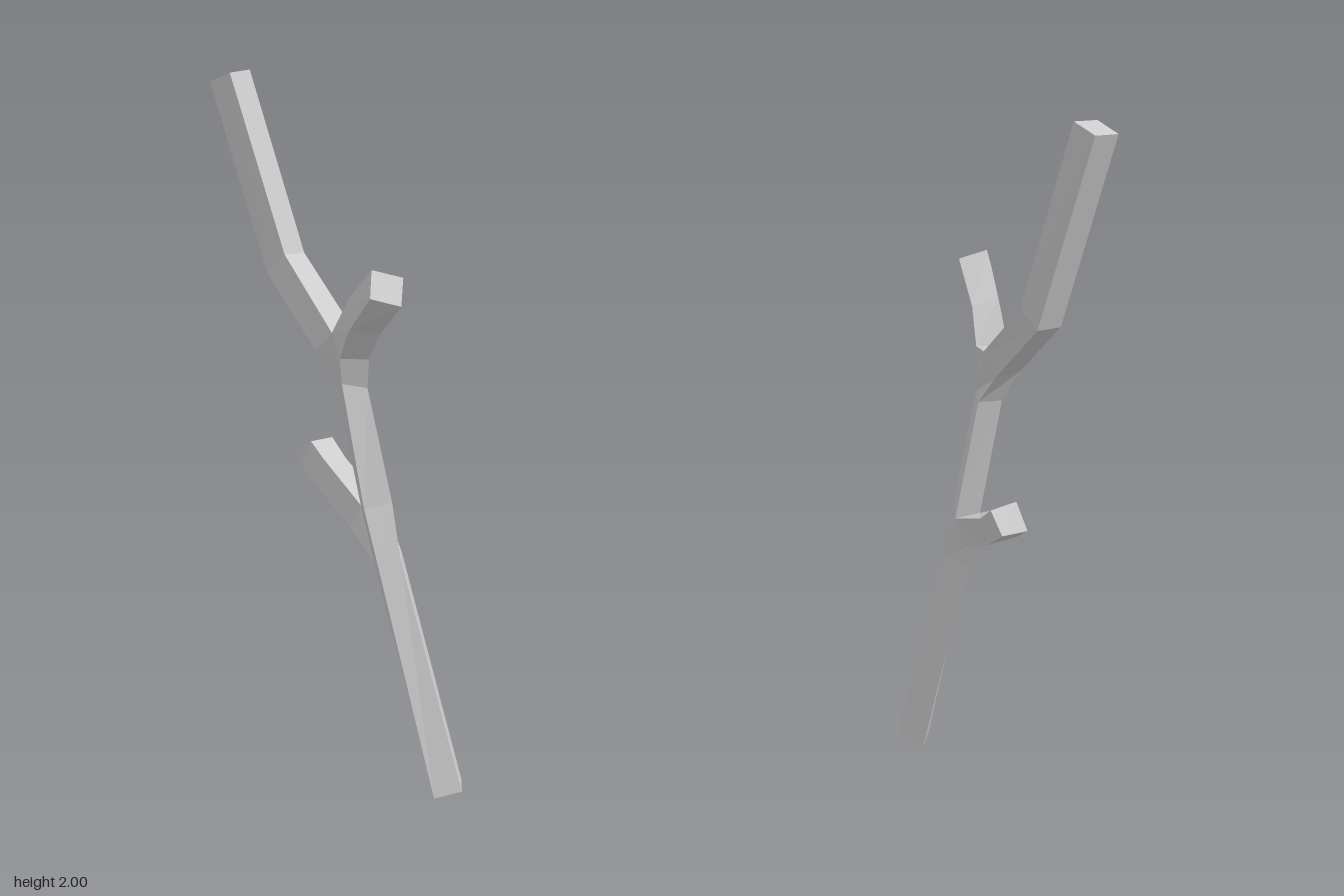
import * as THREE from 'three';

// Corner rings run clockwise when looked at from the tip of their limb.
// Trunk rings: right, front, left, back corner.
const base = [[0.205, 0.03, 0.365], [0.165, 0.04, 0.433], [0.092, 0.02, 0.40], [0.13, 0.0, 0.33]];
const knee = [[0.10, 0.71, 0.175], [0.06, 0.72, 0.24], [-0.005, 0.73, 0.215], [0.03, 0.68, 0.14]];
const collar = [[0.075, 0.84, 0.115], [0.053, 0.88, 0.2], [-0.025, 0.87, 0.18], [0.0, 0.85, 0.115]];
const neck = [[0.02, 1.2, 0.06], [0.0, 1.21, 0.15], [-0.073, 1.23, 0.14], [-0.05, 1.2, 0.06]];

// Crotch corners shared by the two upper limbs
const crotchL = [-0.07, 1.355, 0.075], crotchBack = [0.01, 1.35, 0.04], crotchFront = [0.01, 1.35, 0.115];

// Front limb rings: top left, top right, bottom right, bottom left
const frontLimb = [
  [crotchL, crotchFront, [-0.01, 1.30, 0.175], [-0.09, 1.31, 0.16]],
  [[-0.075, 1.475, 0.18], [0.0, 1.45, 0.19], [-0.02, 1.39, 0.25], [-0.105, 1.41, 0.24]],
  [[-0.085, 1.59, 0.325], [-0.005, 1.565, 0.345], [-0.035, 1.505, 0.39], [-0.113, 1.53, 0.37]],
];

// Back limb rings: top right, top left, bottom left, bottom right
const backLimb = [
  [crotchBack, crotchL, [-0.09, 1.29, 0.02], [-0.01, 1.28, 0.0]],
  [[-0.02, 1.51, -0.195], [-0.095, 1.52, -0.165], [-0.125, 1.46, -0.22], [-0.05, 1.46, -0.25]],
  [[-0.10, 2.0, -0.365], [-0.175, 2.0, -0.33], [-0.205, 1.97, -0.40], [-0.13, 1.97, -0.437]],
];

// Side branch rings, same order as the back limb
const sideBranch = [
  [collar[0], collar[3], [-0.02, 0.775, 0.09], [0.06, 0.76, 0.085]],
  [[0.062, 0.905, -0.095], [-0.02, 0.925, -0.08], [-0.04, 0.85, -0.12], [0.045, 0.83, -0.11]],
  [[0.052, 0.95, -0.165], [-0.03, 0.96, -0.14], [-0.05, 0.885, -0.18], [0.03, 0.885, -0.202]],
];

// Side faces between two rings, optionally leaving one side open
function tube(p, q, open = -1) {
  const faces = [];
  for (let i = 0; i < 4; i++) {
    const j = (i + 1) % 4;
    if (i !== open) faces.push([p[j], p[i], q[i], q[j]]);
  }
  return faces;
}

// A limb from its rings, capped at the tip
function limb(rings) {
  const faces = [];
  for (let i = 1; i < rings.length; i++) faces.push(...tube(rings[i - 1], rings[i]));
  faces.push([...rings[rings.length - 1]].reverse());
  return faces;
}

// Flat-shaded mesh from convex polygons
function polyMesh(name, faces, material) {
  const positions = [];
  for (const f of faces)
    for (let i = 1; i < f.length - 1; i++) positions.push(...f[0], ...f[i], ...f[i + 1]);
  const geometry = new THREE.BufferGeometry();
  geometry.setAttribute('position', new THREE.Float32BufferAttribute(positions, 3));
  geometry.computeVertexNormals();
  const mesh = new THREE.Mesh(geometry, material);
  mesh.name = name;
  return mesh;
}

export function createModel() {
  const group = new THREE.Group();
  group.name = 'branch';
  const wood = new THREE.MeshStandardMaterial({ color: 0xcccccc, flatShading: true });

  // Trunk, left open where the side branch grows out of its back
  const [, , sideBL, sideBR] = sideBranch[0];
  const trunk = [
    base,
    ...tube(base, knee),
    ...tube(knee, collar, 3),
    ...tube(collar, neck),
    [knee[0], knee[3], sideBL, sideBR],
    [knee[0], sideBR, collar[0]],
    [knee[3], collar[3], sideBL],
  ];

  // Fork joining the trunk to the two upper limbs
  const [, , frontBR, frontBL] = frontLimb[0];
  const [, , backBL, backBR] = backLimb[0];
  const fork = [
    [neck[2], neck[1], frontBR, frontBL],
    [neck[0], neck[3], backBL, backBR],
    [neck[1], neck[0], backBR, crotchBack, crotchFront, frontBR],
    [neck[3], neck[2], frontBL, crotchL, backBL],
    [crotchL, crotchFront, crotchBack],
  ];

  group.add(
    polyMesh('trunk', trunk, wood),
    polyMesh('fork', fork, wood),
    polyMesh('frontLimb', limb(frontLimb), wood),
    polyMesh('backLimb', limb(backLimb), wood),
    polyMesh('sideBranch', limb(sideBranch), wood),
  );
  return group;
}
